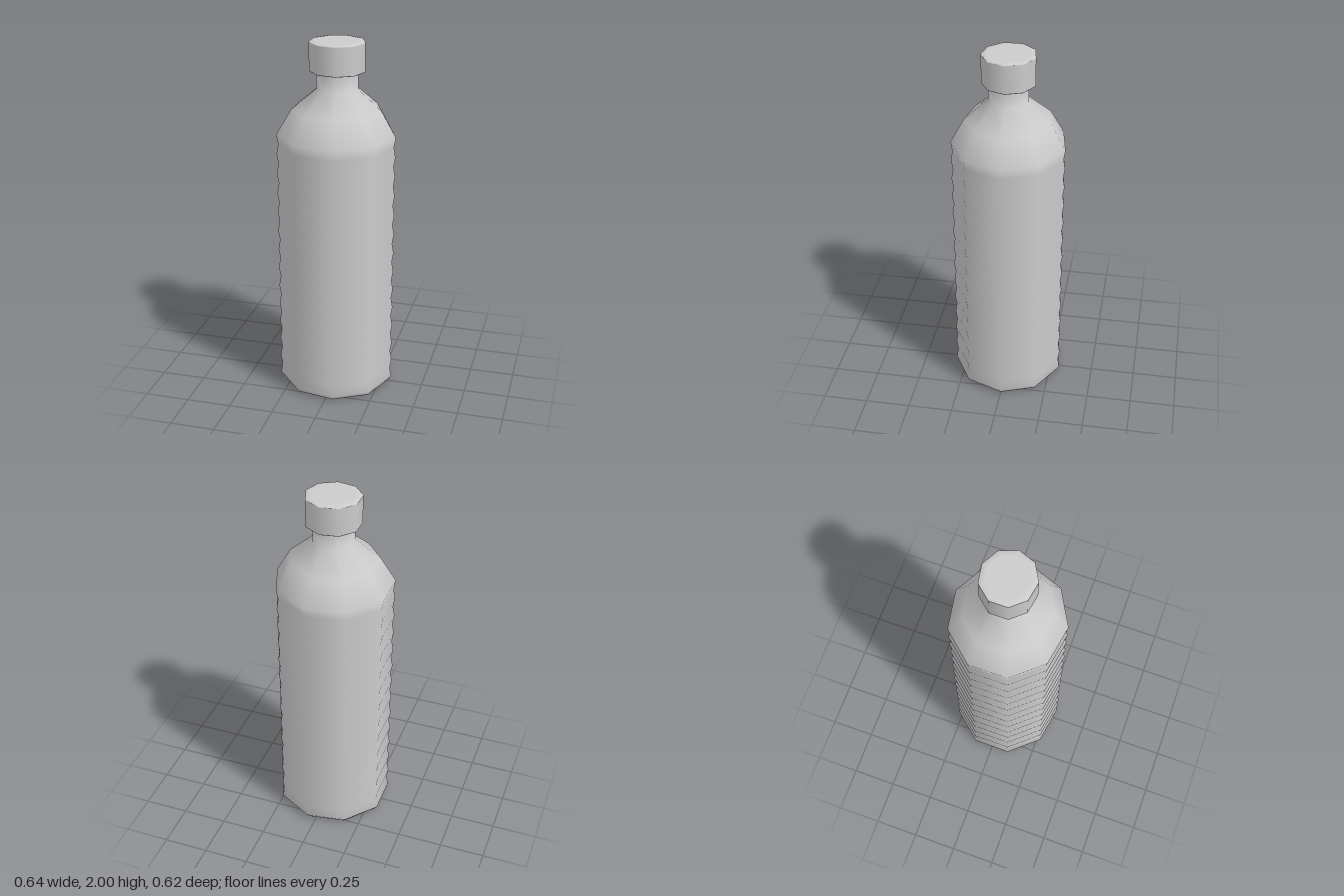
import * as THREE from 'three';

const SIDES = 9;

// Nine-sided turned part: slightly wider in x, each ring centred on x = 0
function turned(name, profile, material) {
  const points = profile.map(([r, y]) => new THREE.Vector2(r, y));
  const geometry = new THREE.LatheGeometry(points, SIDES, Math.PI / 2);
  const pos = geometry.attributes.position;
  for (let i = 0; i < pos.count; i++) {
    const r = Math.hypot(pos.getX(i), pos.getZ(i));
    pos.setX(i, 1.042 * (pos.getX(i) - 0.0302 * r));
  }
  const mesh = new THREE.Mesh(geometry, material);
  mesh.name = name;
  return mesh;
}

export function createModel() {
  const group = new THREE.Group();
  group.name = 'bottle';
  const material = new THREE.MeshStandardMaterial({ color: 0xcccccc });

  // Bottle: flat base, zigzag ribbed wall, shoulder and neck
  const ribs = 13, wallBottom = 0.03, wallTop = 1.49;
  const bottle = [[0, 0], [0.288, 0], [0.295, 0.003]];
  for (let i = 0; i <= ribs * 2; i++) {
    const y = wallBottom + (wallTop - wallBottom) * i / (ribs * 2);
    bottle.push([i % 2 ? 0.306 : 0.315, y]);
  }
  bottle.push([0.236, 1.63], [0.11, 1.74], [0.11, 1.85]);
  group.add(turned('bottleBody', bottle, material));

  // Screw cap: underside, straight side and softly shaded rim
  group.add(turned('cap', [
    [0.1, 1.835], [0.143, 1.835], [0.146, 1.838], [0.146, 1.99],
    [0.146, 1.996], [0.12, 2], [0.115, 2], [0, 2],
  ], material));

  return group;
}
